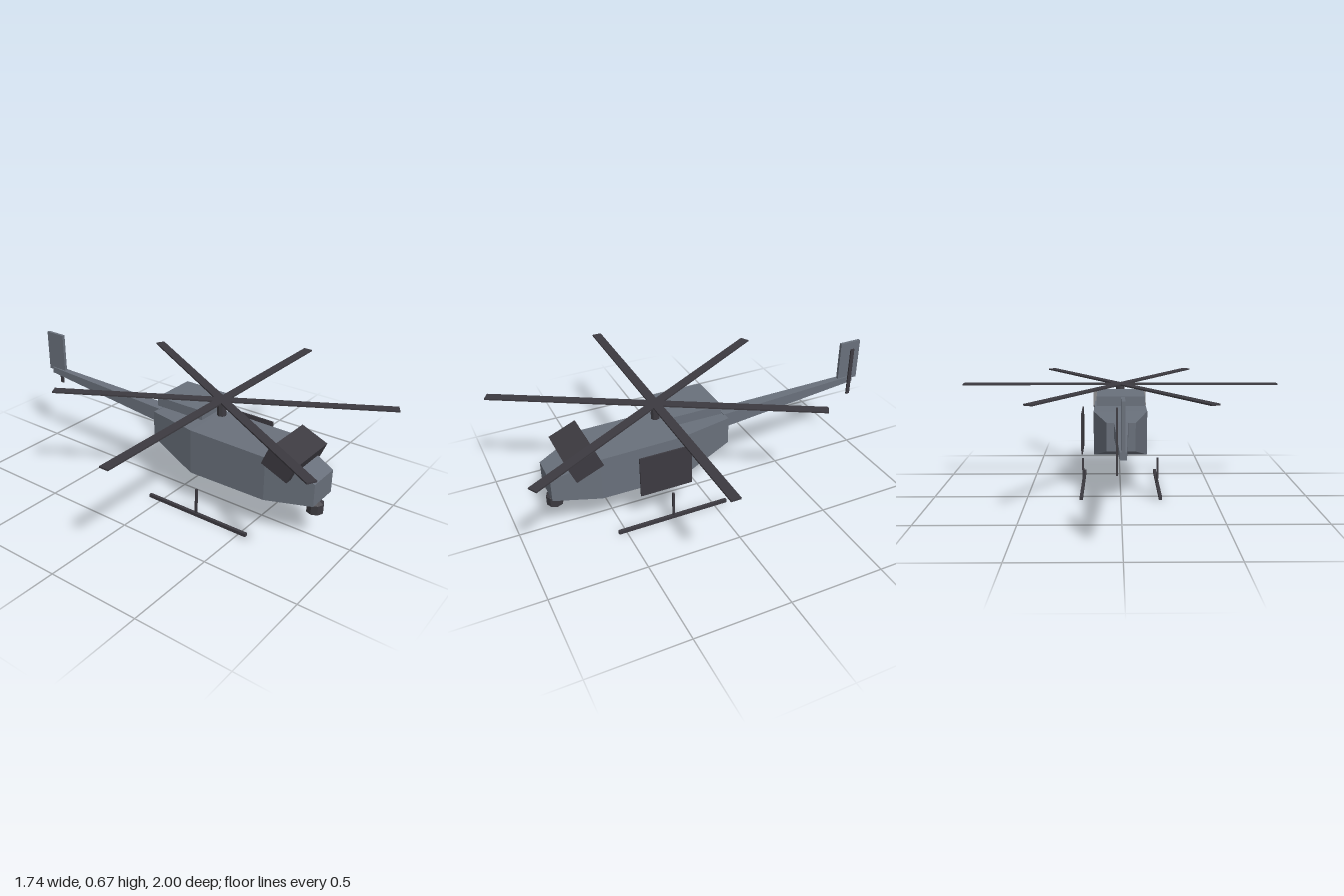
import * as THREE from 'three';

const bodyGrey = new THREE.MeshStandardMaterial({ color: 0x69707b });
bodyGrey.name = 'bodyGrey';
const darkGrey = new THREE.MeshStandardMaterial({ color: 0x3c3a40 });
darkGrey.name = 'darkGrey';

// Faceted hull through rectangular sections [z, halfWidth, bottom, top], front to back
function loft(sections) {
  const rings = sections.map(([z, w, lo, hi]) => [[-w, lo, z], [w, lo, z], [w, hi, z], [-w, hi, z]]);
  const pos = [];
  const quad = (a, b, c, d) => pos.push(...a, ...b, ...c, ...a, ...c, ...d);
  for (let s = 0; s < rings.length - 1; s++) {
    const a = rings[s], b = rings[s + 1];
    for (let i = 0; i < 4; i++) {
      const j = (i + 1) % 4;
      quad(a[i], b[i], b[j], a[j]);
    }
  }
  quad(...rings[0]);
  quad(...[...rings[rings.length - 1]].reverse());
  const geo = new THREE.BufferGeometry();
  geo.setAttribute('position', new THREE.Float32BufferAttribute(pos, 3));
  geo.computeVertexNormals();
  return geo;
}

export function createModel() {
  const model = new THREE.Group();
  model.name = 'helicopter';

  const add = (name, geometry, material, x, y, z, parent = model) => {
    const mesh = new THREE.Mesh(geometry, material);
    mesh.name = name;
    mesh.position.set(x, y, z);
    parent.add(mesh);
    return mesh;
  };
  const box = (w, h, d) => new THREE.BoxGeometry(w, h, d);
  // Faceted geometry with its own normal per face
  const faceted = (geo) => {
    const flat = geo.toNonIndexed();
    flat.computeVertexNormals();
    return flat;
  };

  // Hull and tail
  add('fuselage', loft([
    [0.83, 0.088, 0.223, 0.345],
    [0.59, 0.147, 0.2, 0.434],
    [0.15, 0.147, 0.197, 0.44],
    [-0.148, 0.075, 0.28, 0.43],
  ]), bodyGrey, 0, 0, 0);
  add('tailBoom', loft([
    [-0.14, 0.037, 0.353, 0.433],
    [-0.968, 0.015, 0.424, 0.458],
  ]), bodyGrey, 0, 0, 0);
  add('tailFin', box(0.016, 0.228, 0.123), bodyGrey, 0, 0.556, -0.938);
  add('tailRotor', box(0.008, 0.28, 0.021), darkGrey, 0.026, 0.495, -0.94);

  // Tilted cockpit canopy, engine cover and open side door
  add('canopy', box(0.314, 0.098, 0.155), darkGrey, 0, 0.419, 0.664).rotation.x = 0.4;
  add('engineCover', box(0.25, 0.05, 0.28), bodyGrey, 0, 0.53, 0.063);
  add('sideDoor', box(0.008, 0.225, 0.28), darkGrey, 0.212, 0.313, 0.272);

  // Sensor ball under the nose
  add('sensorBall', faceted(new THREE.SphereGeometry(0.05, 8, 3)), darkGrey, 0, 0.169, 0.797);

  // Main rotor: three full-span bars make six blades
  const rotor = new THREE.Group();
  rotor.name = 'mainRotor';
  rotor.position.set(0, 0.58, 0.235);
  model.add(rotor);
  add('mast', faceted(new THREE.CylinderGeometry(0.024, 0.024, 0.084, 8)), darkGrey, 0, -0.042, 0, rotor);
  for (let i = 0; i < 3; i++) {
    add('bladePair', box(1.736, 0.008, 0.05), darkGrey, 0, 0, 0, rotor).rotation.y = i * Math.PI / 3;
  }

  // Landing skids with one strut each
  for (const side of [-1, 1]) {
    const gear = new THREE.Group();
    gear.name = side > 0 ? 'leftSkid' : 'rightSkid';
    gear.position.set(side * 0.21, 0, 0.235);
    model.add(gear);
    add('runner', box(0.017, 0.018, 0.612), darkGrey, 0, 0.009, 0, gear);
    add('strut', box(0.011, 0.144, 0.011), darkGrey, 0, 0.086, 0, gear);
  }

  return model;
}
